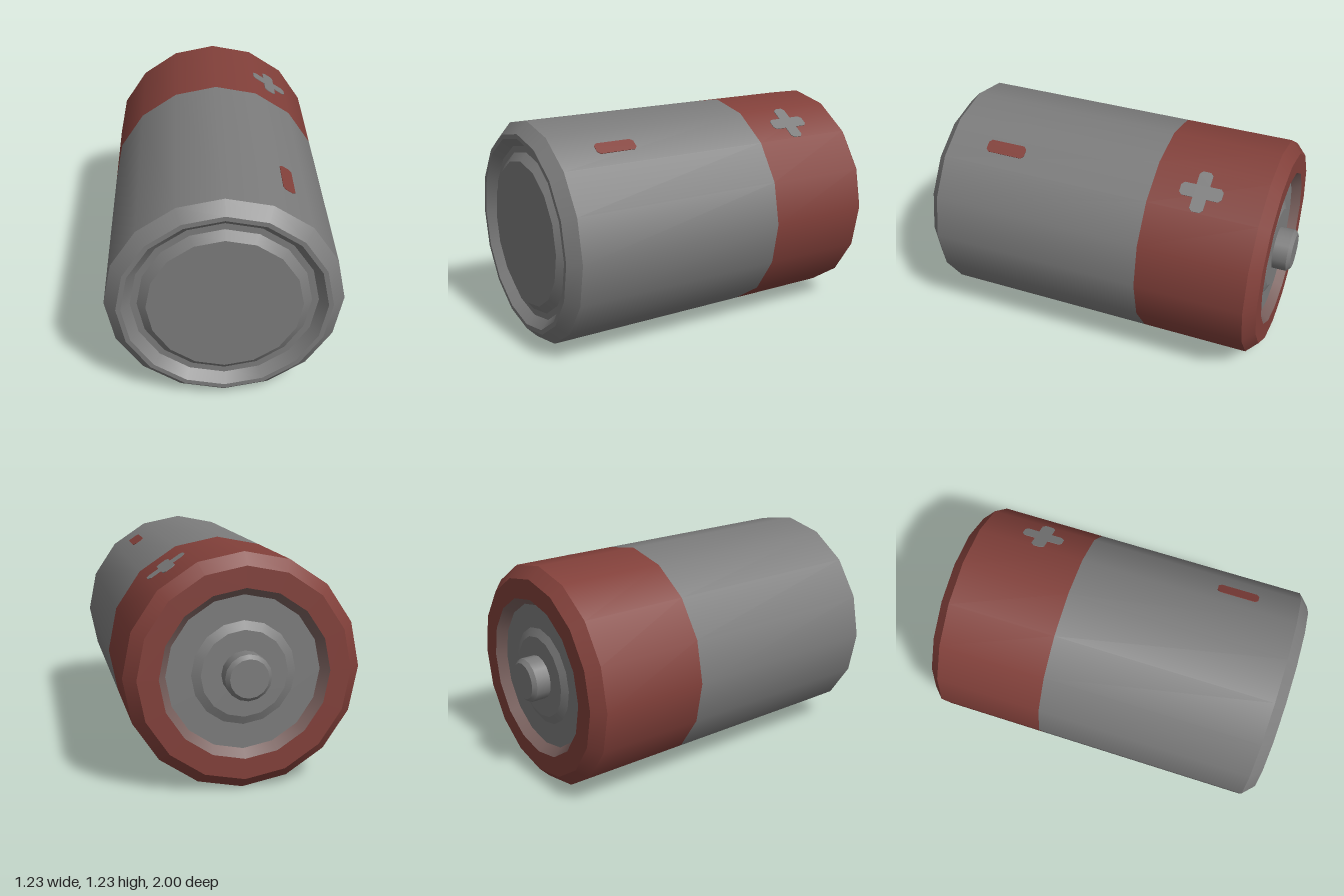
import * as THREE from 'three';
import { mergeGeometries } from 'three/addons/utils/BufferGeometryUtils.js';

const SIDES = 16;
const R = 0.6125;

// Turned part along z from [radius, z] points: smooth around, crisp between bands.
function turned(name, points, material) {
  const bands = [];
  for (let i = 0; i < points.length - 1; i++) {
    const pair = [points[i], points[i + 1]].map(([r, z]) => new THREE.Vector2(r, z));
    bands.push(new THREE.LatheGeometry(pair, SIDES));
  }
  const mesh = new THREE.Mesh(mergeGeometries(bands).rotateX(Math.PI / 2), material);
  mesh.name = name;
  mesh.position.y = R;
  return mesh;
}

// Thin sign lying on the facet between the second and third ridge from the top.
function sign(name, points, z, material) {
  const shape = new THREE.Shape(points.map(([x, y]) => new THREE.Vector2(x, y)));
  const geometry = new THREE.ExtrudeGeometry(shape, { depth: 0.004, bevelEnabled: false });
  const mesh = new THREE.Mesh(geometry, material);
  mesh.name = name;
  const angle = 1.5 * (2 * Math.PI / SIDES);
  const normal = new THREE.Vector3(Math.sin(angle), Math.cos(angle), 0);
  const across = new THREE.Vector3(Math.cos(angle), -Math.sin(angle), 0);
  const along = new THREE.Vector3(0, 0, -1);
  mesh.quaternion.setFromRotationMatrix(new THREE.Matrix4().makeBasis(across, along, normal));
  const apothem = R * Math.cos(Math.PI / SIDES);
  mesh.position.copy(normal).multiplyScalar(apothem - 0.001);
  mesh.position.y += R;
  mesh.position.z = z;
  return mesh;
}

export function createModel() {
  const grey = new THREE.MeshStandardMaterial({ color: 0x7c7c7c });
  grey.name = 'grey metal';
  const red = new THREE.MeshStandardMaterial({ color: 0x82403a });
  red.name = 'rust red';
  const blend = new THREE.MeshStandardMaterial({ color: 0x7a615e });
  blend.name = 'reddish grey';

  const model = new THREE.Group();
  model.name = 'battery';

  // Back end: contact nub, stepped plate and recess
  model.add(turned('contactNub', [[0, -1], [0.1, -1], [0.12, -0.98], [0.12, -0.9]], grey));
  model.add(turned('backPlate', [[0.12, -0.9], [0.225, -0.9], [0.27, -0.88], [0.4, -0.88]], grey));
  model.add(turned('recessWall', [[0.4, -0.88], [0.44, -0.93]], blend));

  // Casing: red band and grey body
  model.add(turned('redCasing', [[0.44, -0.93], [0.55, -0.93], [R, -0.87], [R, -0.268]], red));
  model.add(turned('greyCasing', [[R, -0.268], [R, 0.94], [0.55, 1], [0.525, 1]], grey));

  // Front end: groove and raised disc
  model.add(turned('frontPlate',
    [[0.525, 1], [0.48, 0.95], [0.445, 0.95], [0.4, 0.985], [0, 0.985]], grey));

  // Plus sign: one arm repeated four times, with clipped tips
  const L = 0.115, w = 0.037, c = 0.016;
  const arm = [[w, w], [w, L - c], [w - c, L], [c - w, L], [-w, L - c]];
  const plus = [];
  for (let i = 0; i < 4; i++) {
    const cos = Math.round(Math.cos(i * Math.PI / 2));
    const sin = Math.round(Math.sin(i * Math.PI / 2));
    for (const [x, y] of arm) plus.push([x * cos - y * sin, x * sin + y * cos]);
  }
  model.add(sign('plusSign', plus, -0.535, grey));

  // Minus sign: clipped bar
  const minus = [[w, c - L], [w, L - c], [w - c, L], [c - w, L],
    [-w, L - c], [-w, c - L], [c - w, -L], [w - c, -L]];
  model.add(sign('minusSign', minus, 0.598, red));

  return model;
}
